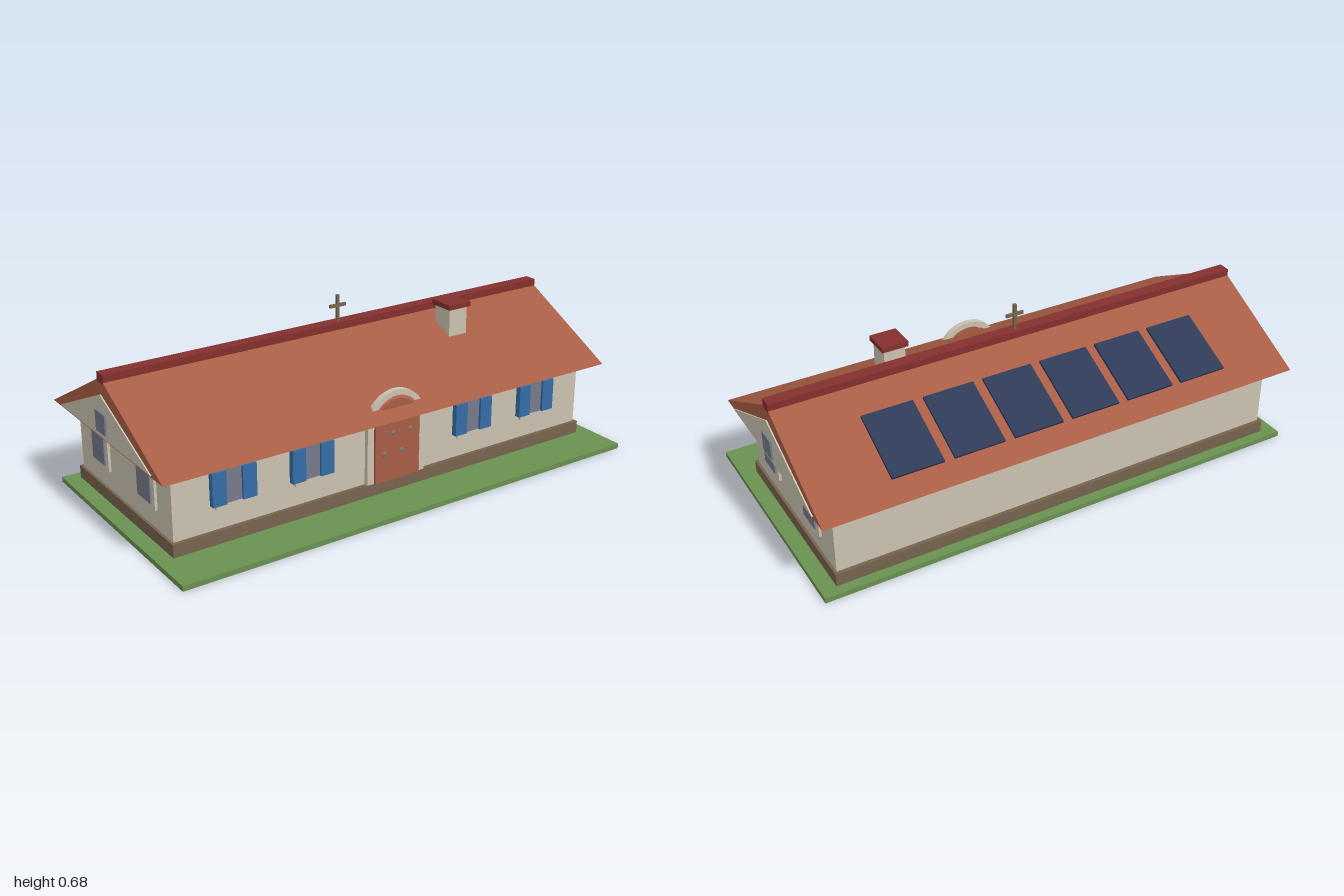
import * as THREE from 'three';

const mat = (name, color) => {
  const m = new THREE.MeshStandardMaterial({ color });
  m.name = name;
  return m;
};

export function createModel() {
  const model = new THREE.Group();
  model.name = 'house';
  const grass = mat('grass', 0x6a9150);
  const stone = mat('stone and wood brown', 0x76634d);
  const plaster = mat('plaster', 0xcbc3b0);
  const tile = mat('terracotta', 0xa85d45);
  const ridge = mat('dark red', 0x84302d);
  const glass = mat('glass', 0x757a8b);
  const blue = mat('shutter blue', 0x356ca8);
  const solar = mat('solar blue', 0x2f3a58);
  const metal = mat('metal', 0x7a7a7a);

  const add = (name, geometry, material, parent = model) => {
    const mesh = new THREE.Mesh(geometry, material);
    mesh.name = name;
    parent.add(mesh);
    return mesh;
  };
  // box given by its limits on each axis
  const box = (name, material, [x0, x1], [y0, y1], [z0, z1], parent) => {
    const mesh = add(name, new THREE.BoxGeometry(x1 - x0, y1 - y0, z1 - z0), material, parent);
    mesh.position.set((x0 + x1) / 2, (y0 + y1) / 2, (z0 + z1) / 2);
    return mesh;
  };
  // triangle in (z, y), extruded along x and centred
  const prism = (name, material, points, length) => {
    const shape = new THREE.Shape(points.map(([z, y]) => new THREE.Vector2(-z, y)));
    const geo = new THREE.ExtrudeGeometry(shape, { depth: length, bevelEnabled: false });
    geo.translate(0, 0, -length / 2).rotateY(Math.PI / 2);
    return add(name, geo, material);
  };

  // ground, plinth and walls
  box('lawn', grass, [-0.99, 0.99], [0, 0.02], [-0.48, 0.505]);
  box('plinth', stone, [-0.93, 0.93], [0.02, 0.07], [-0.44, 0.325]);
  box('walls', plaster, [-0.92, 0.92], [0.07, 0.331], [-0.425, 0.31]);

  // roof with plastered gables and ridge cap
  const ridgeZ = -0.058;
  prism('roof', tile, [[0.39, 0.33], [-0.505, 0.33], [ridgeZ, 0.565]], 1.97);
  prism('gables', plaster, [[0.31, 0.338], [-0.43, 0.338], [ridgeZ, 0.503]], 1.98);
  box('ridgeCap', ridge, [-0.985, 0.985], [0.545, 0.58], [-0.082, -0.033]);

  // chimney
  box('chimney', plaster, [0.415, 0.5], [0.42, 0.59], [0.02, 0.108]);
  box('chimneyCap', ridge, [0.405, 0.51], [0.59, 0.61], [0.01, 0.118]);

  // ridge cross
  box('crossPost', stone, [-0.006, 0.006], [0.575, 0.683], [ridgeZ - 0.006, ridgeZ + 0.006]);
  box('crossBar', stone, [-0.036, 0.036], [0.635, 0.647], [ridgeZ - 0.005, ridgeZ + 0.005]);

  // solar panels on the rear slope
  for (let i = 0; i < 6; i++) {
    const panel = add('solarPanel', new THREE.BoxGeometry(0.2, 0.01, 0.262), solar);
    panel.position.set(-0.6 + i * 0.24, 0.45, -0.323);
    panel.rotation.x = -Math.atan2(0.115, 0.235);
  }

  // front windows with a pair of shutters
  for (const x of [-0.688, -0.367, 0.367, 0.688]) {
    const win = new THREE.Group();
    win.name = 'frontWindow';
    win.position.x = x;
    model.add(win);
    box('frame', plaster, [-0.068, 0.068], [0.147, 0.315], [0.305, 0.319], win);
    box('pane', glass, [-0.05, 0.05], [0.167, 0.295], [0.315, 0.323], win);
    for (const s of [-1, 1]) {
      box('shutter', blue, [s * 0.06 - 0.0275, s * 0.06 + 0.0275], [0.167, 0.295], [0.31, 0.333], win);
    }
  }

  // end windows and gable windows, mirrored
  for (const s of [-1, 1]) {
    const span = (a, b) => (s > 0 ? [a, b] : [-b, -a]);
    for (const z of [0.129, -0.24]) {
      box('endWindowFrame', plaster, span(0.915, 0.93), [0.147, 0.315], [z - 0.074, z + 0.074]);
      box('endWindowPane', glass, span(0.927, 0.935), [0.165, 0.295], [z - 0.05, z + 0.05]);
    }
    box('gableWindow', glass, span(0.988, 0.997), [0.36, 0.438], [-0.095, -0.018]);
  }

  // round-headed door and surround
  const arch = (r, springY) => {
    const shape = new THREE.Shape();
    shape.moveTo(-r, 0.07);
    shape.lineTo(r, 0.07);
    shape.lineTo(r, springY);
    shape.absarc(0, springY, r, 0, Math.PI, false);
    shape.closePath();
    return shape;
  };
  const surround = arch(0.13, 0.293);
  surround.holes.push(new THREE.Path(arch(0.108, 0.293).getPoints(8).reverse()));
  const extrude = (shape, depth) =>
    new THREE.ExtrudeGeometry(shape, { depth, bevelEnabled: false, curveSegments: 12 });
  add('doorSurround', extrude(surround, 0.022), plaster).position.z = 0.306;
  add('door', extrude(arch(0.1, 0.29), 0.01), tile).position.z = 0.326;
  box('doorBacking', plaster, [-0.115, 0.115], [0.07, 0.3], [0.305, 0.326]);

  // door studs
  for (const [x, y] of [[-0.02, 0.26], [0.057, 0.26], [-0.06, 0.183], [0.018, 0.183]]) {
    const stud = add('doorStud', new THREE.SphereGeometry(0.01, 10, 8), metal);
    stud.position.set(x, y, 0.335);
    stud.scale.z = 0.5;
  }
  return model;
}
